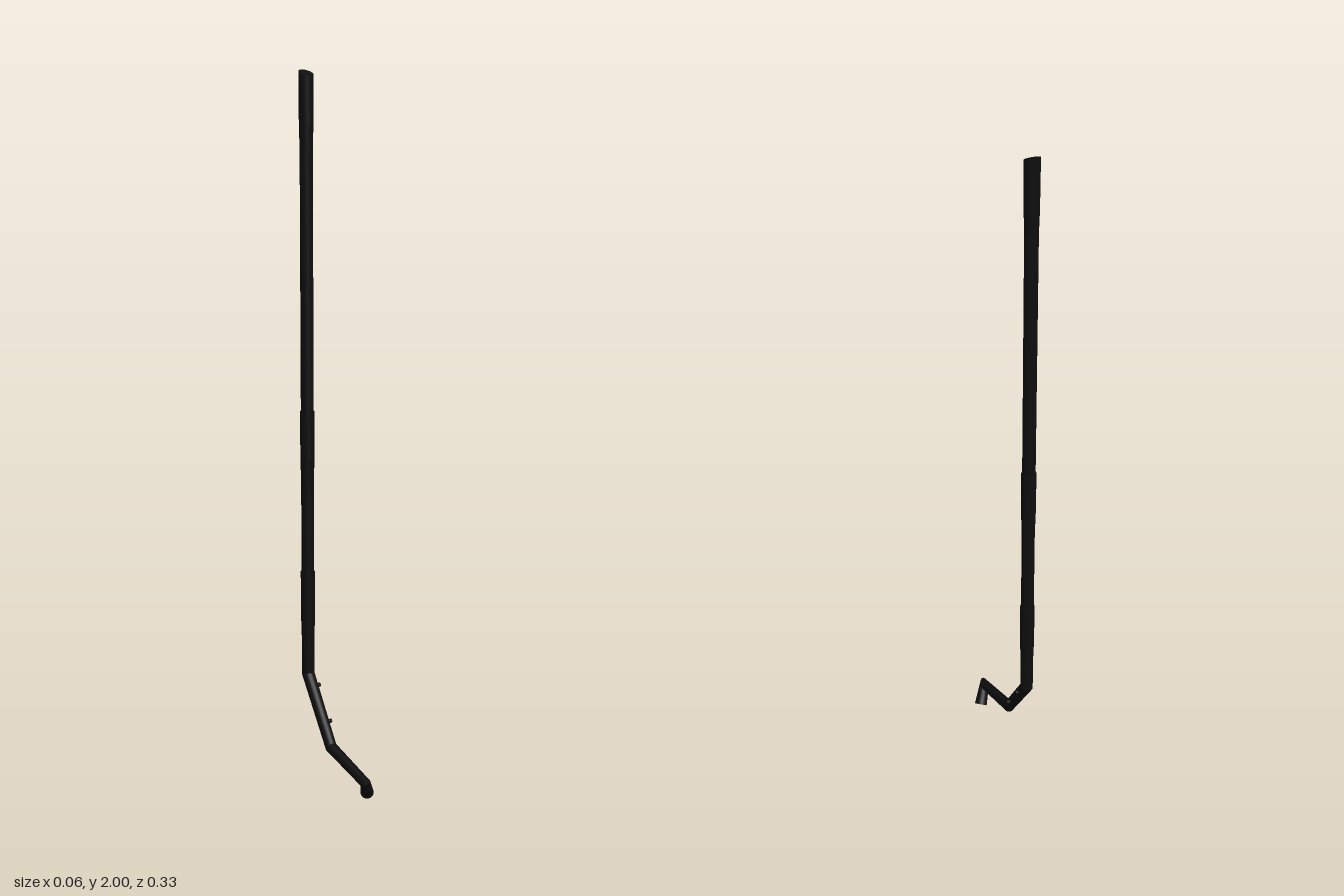
import * as THREE from 'three';

const SIDES = 28;
const V = (x, y, z) => new THREE.Vector3(x, y, z);

// Round pipe through stations [x, y, z, radius], mitred at every bend and capped at both ends.
function mitredPipe(stations, startNormal) {
  const pts = stations.map(s => V(s[0], s[1], s[2]));
  const last = pts.length - 1;
  const dirs = pts.slice(1).map((p, i) => p.clone().sub(pts[i]).normalize());
  const planes = pts.map((p, i) => {
    if (i === 0) return startNormal || dirs[0];
    if (i === last) return dirs[last - 1];
    return dirs[i - 1].clone().add(dirs[i]).normalize();
  });
  const pos = [], idx = [];

  // a circle around the segment axis, slid along it onto the cutting plane
  const ring = (i, d) => {
    const u = V(1, 0, 0).addScaledVector(d, -d.x).normalize();
    const v = d.clone().cross(u);
    const out = [];
    for (let k = 0; k <= SIDES; k++) {
      const a = k / SIDES * Math.PI * 2;
      const off = u.clone().multiplyScalar(Math.cos(a)).addScaledVector(v, Math.sin(a)).multiplyScalar(stations[i][3]);
      off.addScaledVector(d, -off.dot(planes[i]) / d.dot(planes[i]));
      out.push(off.add(pts[i]));
    }
    return out;
  };
  const push = list => {
    const start = pos.length / 3;
    list.forEach(p => pos.push(p.x, p.y, p.z));
    return start;
  };

  // walls: separate rings per segment keep the bends crisp
  dirs.forEach((d, i) => {
    const a = push(ring(i, d)), b = push(ring(i + 1, d));
    for (let k = 0; k < SIDES; k++) {
      idx.push(a + k, a + k + 1, b + k, a + k + 1, b + k + 1, b + k);
    }
  });
  // end caps
  [[0, dirs[0]], [last, dirs[last - 1]]].forEach(([i, d]) => {
    const c = push([pts[i]]), r = push(ring(i, d));
    for (let k = 0; k < SIDES; k++) {
      if (i === 0) idx.push(c, r + k + 1, r + k);
      else idx.push(c, r + k, r + k + 1);
    }
  });

  const g = new THREE.BufferGeometry();
  g.setAttribute('position', new THREE.Float32BufferAttribute(pos, 3));
  g.setIndex(idx);
  g.computeVertexNormals();
  return g;
}

export function createModel() {
  const group = new THREE.Group();
  const mat = new THREE.MeshStandardMaterial({ color: 0x0e0e0e, side: THREE.DoubleSide });
  const add = (name, geo) => {
    const m = new THREE.Mesh(geo, mat);
    m.name = name;
    group.add(m);
    return m;
  };

  // upright lengths, each with a wider collar at its top
  const X = -0.009, Z = -0.144;
  const upright = (top, bottom) => [
    [X, top, Z, 0.0205], [X, top - 0.14, Z, 0.0198], [X, top - 0.2, Z, 0.018], [X, bottom, Z, 0.018],
  ];
  add('upperPipe', mitredPipe(upright(1.992, 1.05), V(0, -1, -0.4).normalize()));
  add('middlePipe', mitredPipe(upright(1.065, 0.585)));

  // lowest length with its bends and the turned-back spout
  const elbow = V(X, 0.295, Z), knee = V(-0.0145, 0.11, -0.022);
  add('lowerPipe', mitredPipe([
    ...upright(0.6, elbow.y),
    [knee.x, knee.y, knee.z, 0.0165],
    [-0.016, 0.058, 0.146, 0.0145],
    [0.013, 0.0125, 0.115, 0.0185],
  ]));

  // two small pegs on the left side of the sloping length
  const slope = knee.clone().sub(elbow);
  for (const z of [-0.122, -0.062]) {
    const p = elbow.clone().addScaledVector(slope, (z - elbow.z) / slope.z);
    const peg = add('peg', new THREE.CylinderGeometry(0.006, 0.006, 0.02, 12));
    peg.rotation.z = Math.PI / 2;
    peg.position.set(p.x + 0.0165, p.y, p.z);
  }
  return group;
}
